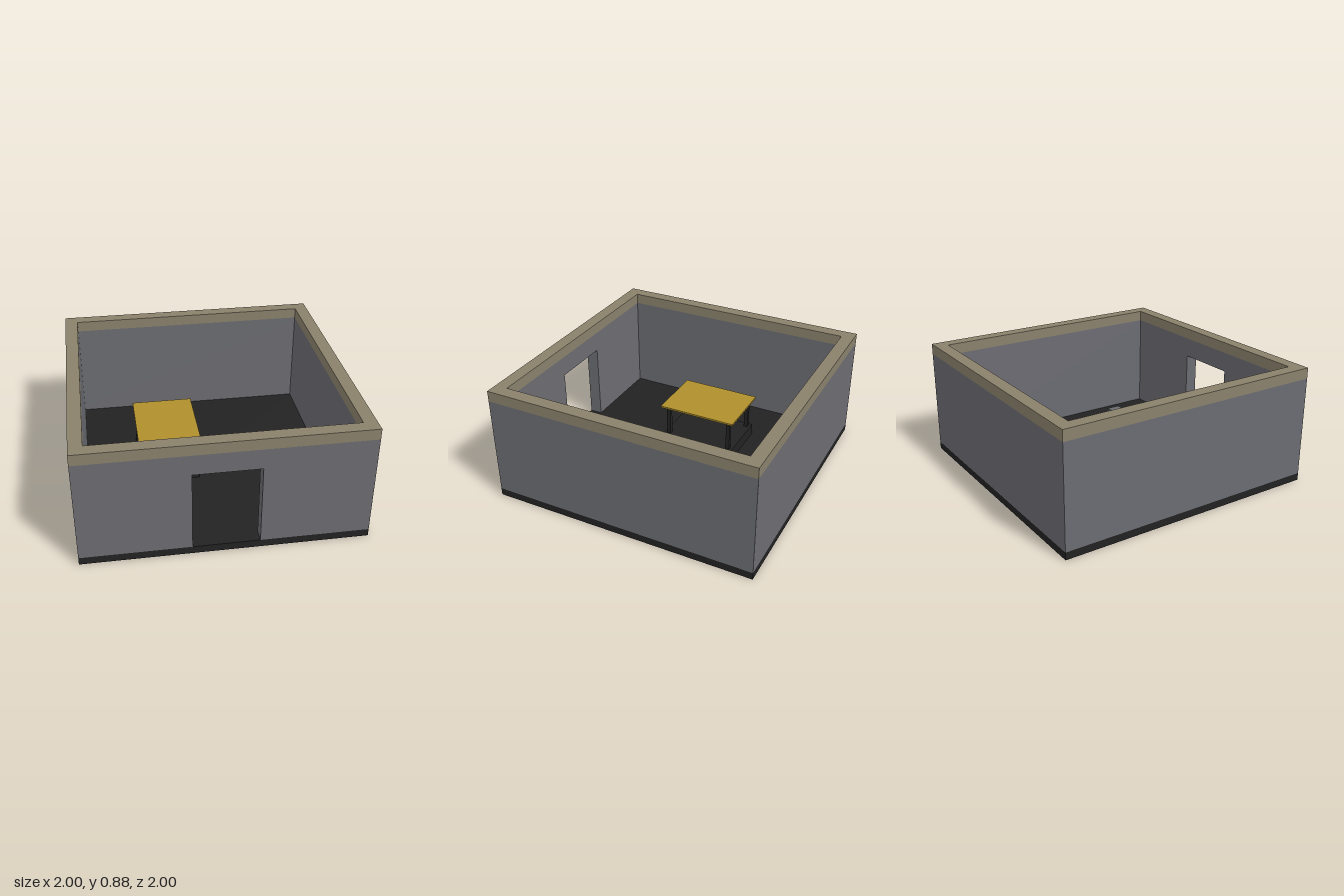
import * as THREE from 'three';

const mat = (name, color) => {
  const m = new THREE.MeshStandardMaterial({ color });
  m.name = name;
  return m;
};

export function createModel() {
  const model = new THREE.Group();
  model.name = 'room';
  const dark = mat('charcoal', 0x222222);
  const grey = mat('wall grey', 0x6b6c72);
  const stone = mat('trim beige', 0x8a816c);
  const gold = mat('table gold', 0xb0902d);

  // Box given by its lower and upper limits on each axis
  const box = (name, material, [x0, x1], [y0, y1], [z0, z1], parent = model) => {
    const mesh = new THREE.Mesh(new THREE.BoxGeometry(x1 - x0, y1 - y0, z1 - z0), material);
    mesh.position.set((x0 + x1) / 2, (y0 + y1) / 2, (z0 + z1) / 2);
    mesh.name = name;
    parent.add(mesh);
    return mesh;
  };

  const inner = 0.905, floorTop = 0.055, wallTop = 0.8, rimTop = 0.88;
  const wallY = [floorTop, wallTop];

  box('floor', dark, [-1, 1], [0, floorTop], [-1, 1]);

  // Solid walls
  box('backWall', grey, [-1, 1], wallY, [-1, -inner]);
  box('leftWall', grey, [inner, 1], wallY, [-inner, inner]);
  box('rightWall', grey, [-1, -inner], wallY, [-inner, inner]);

  // Front wall outline with the doorway cut from its lower edge
  const front = new THREE.Shape([
    [-1, floorTop], [-0.233, floorTop], [-0.233, 0.65], [0.233, 0.65],
    [0.233, floorTop], [1, floorTop], [1, wallTop], [-1, wallTop],
  ].map(([x, y]) => new THREE.Vector2(x, y)));
  const frontWall = new THREE.Mesh(
    new THREE.ExtrudeGeometry(front, { depth: 1 - inner, bevelEnabled: false }), grey);
  frontWall.position.z = inner;
  frontWall.name = 'frontWall';
  model.add(frontWall);

  // Rim along the wall tops: a square ring laid flat
  const square = (s) => [[-s, -s], [s, -s], [s, s], [-s, s]].map(([x, y]) => new THREE.Vector2(x, y));
  const ring = new THREE.Shape(square(1));
  ring.holes.push(new THREE.Path(square(inner).reverse()));
  const rim = new THREE.Mesh(
    new THREE.ExtrudeGeometry(ring, { depth: rimTop - wallTop, bevelEnabled: false }), stone);
  rim.rotation.x = -Math.PI / 2;
  rim.position.y = wallTop;
  rim.name = 'wallRim';
  model.add(rim);

  // Table: thin top on four legs rising from a low plinth
  const table = new THREE.Group();
  table.name = 'table';
  table.position.set(-0.29, 0, -0.072);
  model.add(table);
  box('tableTop', gold, [-0.23, 0.23], [0.386, 0.4], [-0.303, 0.303], table);
  box('tablePlinth', dark, [-0.218, 0.218], [floorTop, 0.145], [-0.29, 0.29], table);
  for (const sx of [-1, 1]) {
    for (const sz of [-1, 1]) {
      const x = 0.18 * sx, z = 0.253 * sz;
      box('tableLeg', dark, [x - 0.015, x + 0.015], [0.145, 0.386], [z - 0.015, z + 0.015], table);
    }
  }

  // Low bench by the left wall
  box('bench', grey, [0.388, 0.675], [floorTop, 0.145], [0.407, 0.513]);

  return model;
}
